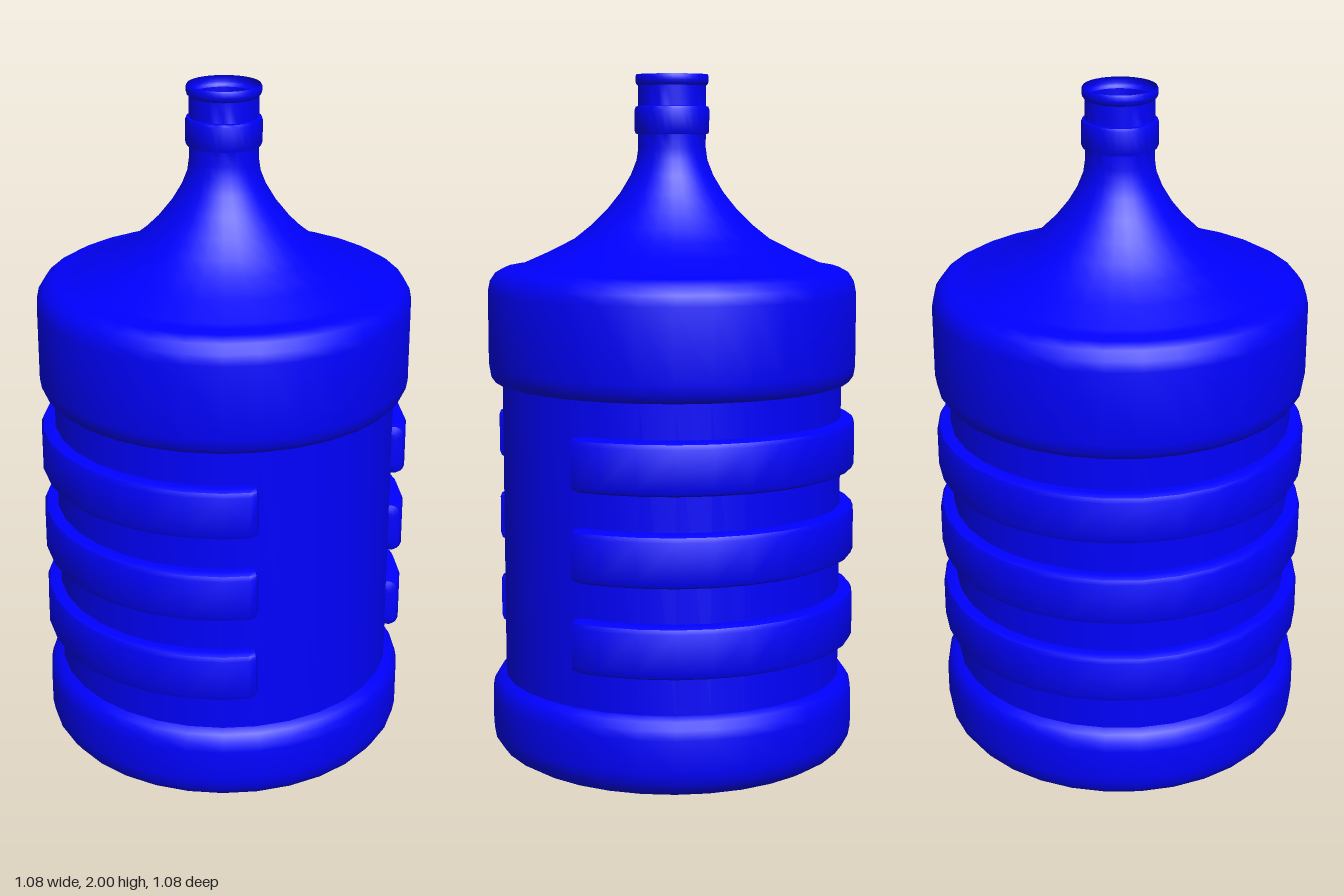
import * as THREE from 'three';
import { toCreasedNormals } from 'three/addons/utils/BufferGeometryUtils.js';

const SIDES = 32;
const CREASE = 0.7;
const material = new THREE.MeshStandardMaterial({ color: 0x0000ff, side: THREE.DoubleSide });

function addMesh(parent, name, geometry) {
  const mesh = new THREE.Mesh(toCreasedNormals(geometry, CREASE), material);
  mesh.name = name;
  parent.add(mesh);
  return mesh;
}

function lathe(points) {
  return new THREE.LatheGeometry(points.map(([r, y]) => new THREE.Vector2(r, y)), SIDES);
}

// Raised band wrapping most of the body, tapering into the wall at both ends
function ribGeometry() {
  const ends = [[33.75, 0.496, 0.053], [33.9, 0.515, 0.057], [34.8, 0.531, 0.073], [37, 0.538, 0.076]];
  const sections = [...ends];
  for (let k = 4; k <= SIDES - 4; k++) sections.push([k * 360 / SIDES, 0.54, 0.076]);
  for (const [a, r, h] of [...ends].reverse()) sections.push([360 - a, r, h]);

  const positions = [];
  const indices = [];
  const rows = 8;
  sections.forEach(([deg, r, h], i) => {
    const a = THREE.MathUtils.degToRad(deg);
    const d = r - 0.496;
    // rounded cross-section from the lower wall to the upper wall
    const half = [[0, h], [d * 0.5, h], [d * 0.87, h - 0.007], [d, h - 0.02]];
    const profile = [
      ...half.map(([o, y]) => [o, -y]),
      ...[...half].reverse(),
    ];
    for (const [o, y] of profile) {
      positions.push((0.496 + o) * Math.cos(a), y, (0.496 + o) * Math.sin(a));
    }
    if (i === 0) return;
    for (let j = 0; j < rows - 1; j++) {
      const p = (i - 1) * rows + j;
      const q = i * rows + j;
      indices.push(p, p + 1, q, p + 1, q + 1, q);
    }
  });
  const geometry = new THREE.BufferGeometry();
  geometry.setAttribute('position', new THREE.Float32BufferAttribute(positions, 3));
  geometry.setIndex(indices);
  geometry.computeVertexNormals();
  return geometry;
}

export function createModel() {
  const bottle = new THREE.Group();
  bottle.name = 'waterBottle';

  // Hollow shell: base, straight wall, shoulder, cone and open neck
  addMesh(bottle, 'bottleShell', lathe([
    [0, 0], [0.45, 0], [0.485, 0.008], [0.515, 0.026], [0.534, 0.052], [0.54, 0.085],
    [0.54, 0.18], [0.535, 0.208], [0.522, 0.229], [0.5, 0.24],
    [0.5, 1.11],
    [0.522, 1.117], [0.535, 1.135], [0.54, 1.165],
    [0.54, 1.375], [0.534, 1.405], [0.517, 1.43], [0.49, 1.445], [0.455, 1.448],
    [0.435, 1.457], [0.36, 1.49], [0.285, 1.528], [0.235, 1.568], [0.19, 1.612],
    [0.15, 1.662], [0.12, 1.712], [0.103, 1.755], [0.098, 1.79], [0.098, 1.83],
    // collar
    [0.105, 1.831], [0.108, 1.838], [0.108, 1.9], [0.105, 1.908], [0.098, 1.91],
    // lip
    [0.098, 1.968], [0.104, 1.974], [0.106, 1.982], [0.106, 1.994], [0.103, 2],
  ]));

  // Grip ribs, with the gap on the +x side
  const geometry = ribGeometry();
  [0.424, 0.68, 0.935].forEach((y, i) => {
    addMesh(bottle, `rib${i + 1}`, geometry).position.y = y;
  });

  return bottle;
}
